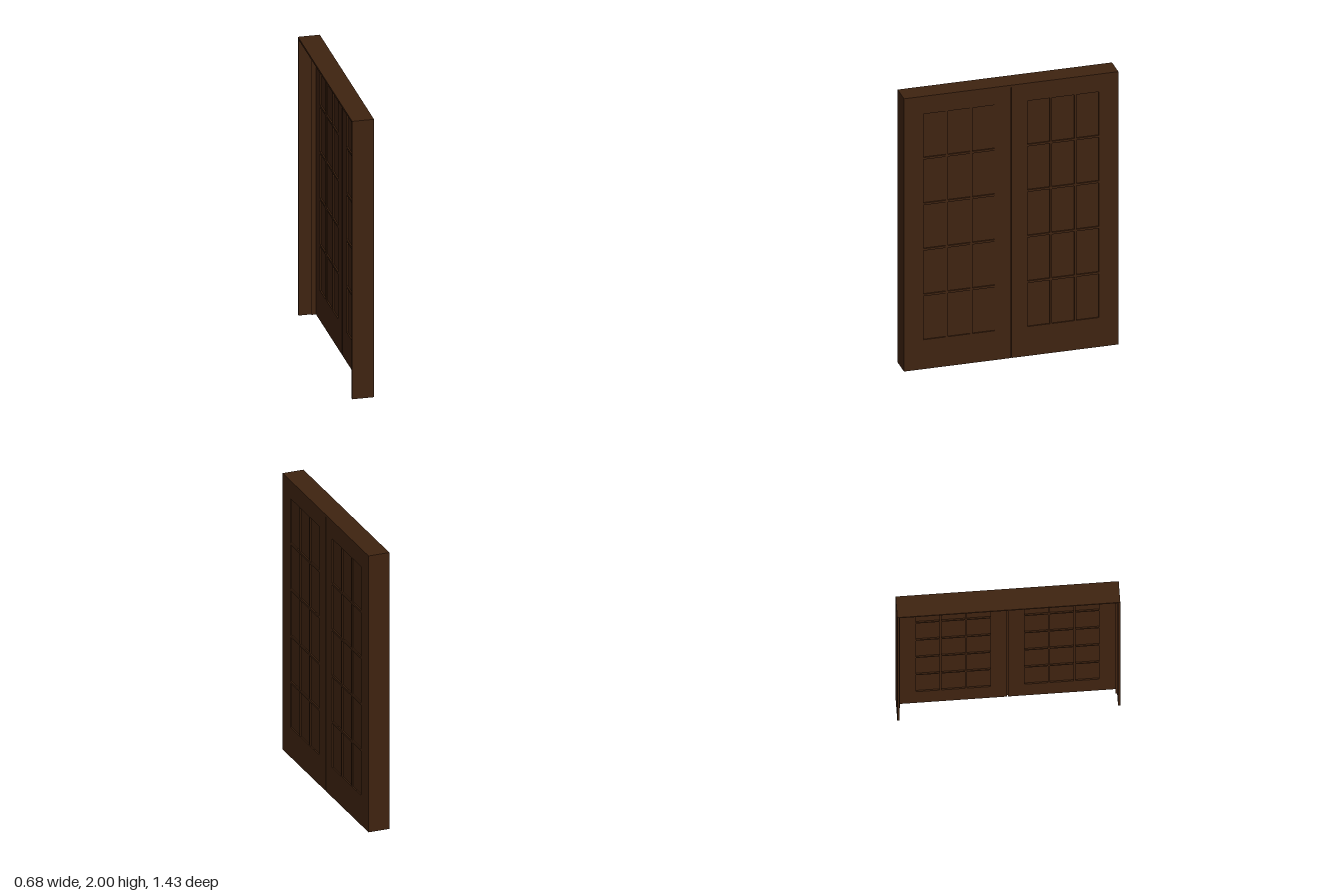
import * as THREE from 'three';

const HALF = 0.741, DEPTH = 0.149, HEIGHT = 2, JAMB = 0.015;
const STOP = 0.01, STOP_DEPTH = 0.03;
const LEAF = 0.0315, BACK = -DEPTH / 2, LEAF_FACE = BACK + LEAF;
const COLS = 3, ROWS = 5, BAR = 0.015;

export function createModel() {
  const wood = new THREE.MeshStandardMaterial({ color: 0x3f2310 });
  wood.name = 'dark brown wood';

  const model = new THREE.Group();
  model.name = 'doubleDoor';
  const turned = new THREE.Group();
  turned.name = 'doorAssembly';
  turned.rotation.y = -1.198;
  model.add(turned);

  const box = (parent, name, w, h, d, x, y, z) => {
    const mesh = new THREE.Mesh(new THREE.BoxGeometry(w, h, d), wood);
    mesh.name = name;
    mesh.position.set(x, y, z);
    parent.add(mesh);
  };

  // Frame: head and two jambs, each with a door stop
  const inner = HALF - JAMB, top = HEIGHT - JAMB;
  const stopZ = LEAF_FACE + STOP_DEPTH / 2;
  box(turned, 'head', HALF * 2, JAMB, DEPTH, 0, HEIGHT - JAMB / 2, 0);
  box(turned, 'headStop', inner * 2, STOP, STOP_DEPTH, 0, top - STOP / 2, stopZ);
  for (const s of [-1, 1]) {
    box(turned, 'jamb', JAMB, top, DEPTH, s * (HALF - JAMB / 2), top / 2, 0);
    box(turned, 'jambStop', STOP, top - STOP, STOP_DEPTH,
      s * (inner - STOP / 2), (top - STOP) / 2, stopZ);
  }

  // Leaf: slab with a grid of openings, filled by thinner panels
  const x0 = 0.114, x1 = 0.607, y0 = 0.215, y1 = 1.87, gap = 0.003;
  const w = (x1 - x0 - BAR * (COLS - 1)) / COLS;
  const h = (y1 - y0 - BAR * (ROWS - 1)) / ROWS;
  const rect = (Type, a, b, c, d) => {
    const p = new Type();
    p.moveTo(a, b); p.lineTo(c, b); p.lineTo(c, d); p.lineTo(a, d); p.closePath();
    return p;
  };
  for (const s of [-1, 1]) {
    const leaf = new THREE.Group();
    leaf.name = s > 0 ? 'frontLeaf' : 'rearLeaf';
    const edges = [s * gap, s * inner].sort((a, b) => a - b);
    const shape = rect(THREE.Shape, edges[0], 0, edges[1], top);
    for (let c = 0; c < COLS; c++) {
      for (let r = 0; r < ROWS; r++) {
        const cx = s * (x0 + w / 2 + c * (w + BAR));
        const cy = y0 + h / 2 + r * (h + BAR);
        shape.holes.push(rect(THREE.Path, cx - w / 2, cy - h / 2, cx + w / 2, cy + h / 2));
        box(leaf, 'panel', w, h, 0.013, cx, cy, BACK + LEAF / 2);
      }
    }
    const slab = new THREE.Mesh(
      new THREE.ExtrudeGeometry(shape, { depth: LEAF, bevelEnabled: false }), wood);
    slab.name = 'leafFrame';
    slab.position.z = BACK;
    leaf.add(slab);
    turned.add(leaf);
  }

  // Rebate closing the seam between the leaves
  box(turned, 'meetingRebate', gap * 2, top, 0.01, 0, top / 2, BACK + LEAF / 2);

  return model;
}
